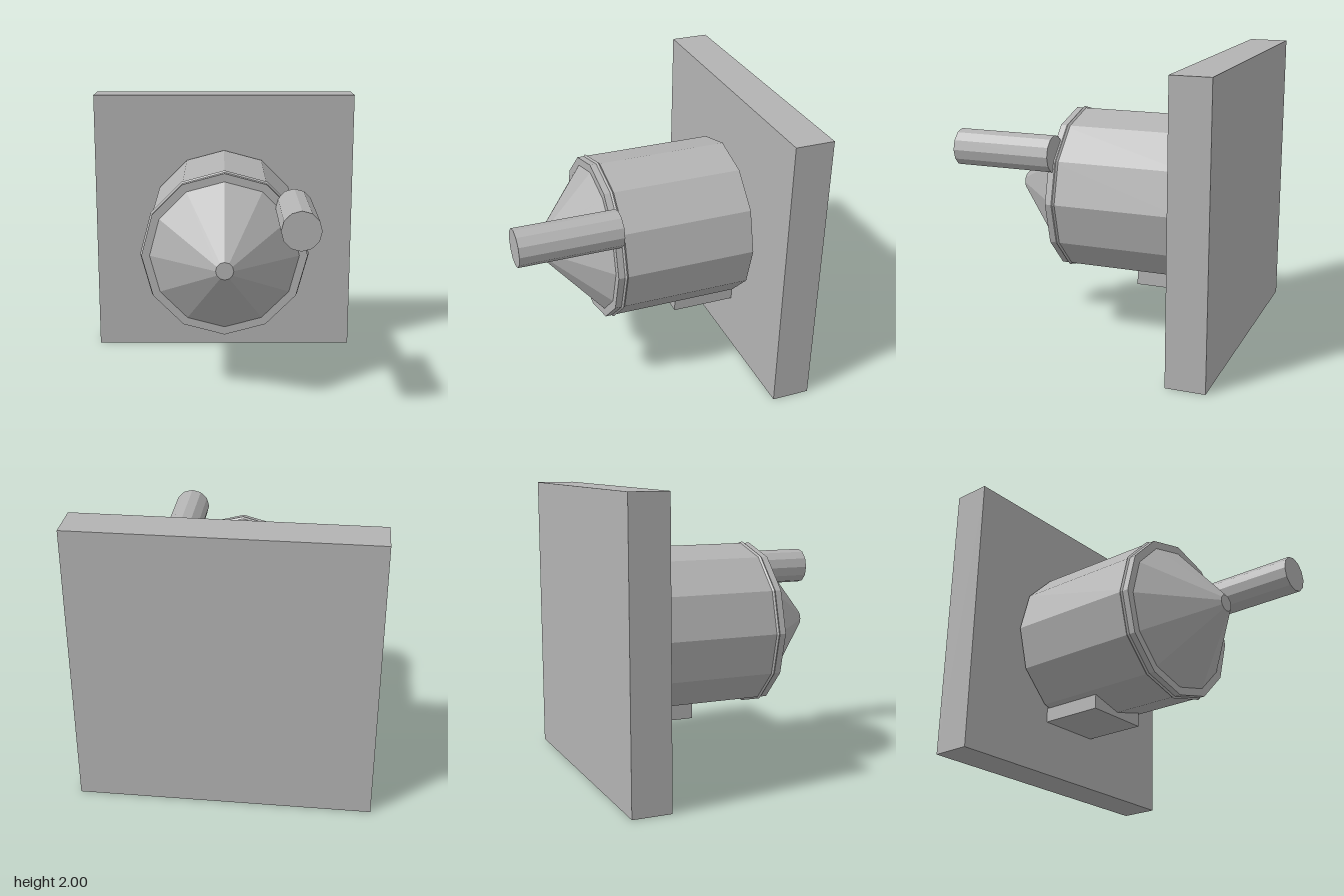
import * as THREE from 'three';

export function createModel() {
  const model = new THREE.Group();
  const grey = new THREE.MeshStandardMaterial({ color: 0xb3b3b3, flatShading: true });
  grey.name = 'plain grey';

  function add(name, geometry, x, y, z) {
    const mesh = new THREE.Mesh(geometry, grey);
    mesh.name = name;
    mesh.position.set(x, y, z);
    model.add(mesh);
  }

  // Twelve-sided drum lying along z, with a corner pointing straight up
  function drum(name, rFront, rBack, zBack, zFront, x, y) {
    const geometry = new THREE.CylinderGeometry(rFront, rBack, zFront - zBack, 12);
    geometry.rotateX(Math.PI / 2);
    add(name, geometry, x, y, (zBack + zFront) / 2);
  }

  // Wall plate and the bracket that carries the body
  add('wallPlate', new THREE.BoxGeometry(2, 2, 0.27), 0, 1, -0.845);
  add('bracket', new THREE.BoxGeometry(0.48, 0.105, 0.465), 0, 0.438, -0.4825);

  // Body with its thin sharp rim and truncated nose cone
  drum('body', 0.577, 0.577, -0.69, 0.305, 0, 1);
  add('rim', new THREE.TorusGeometry(0.577, 0.012, 4, 12), 0, 1, 0.248);
  drum('noseCone', 0.06, 0.52, 0.305, 0.705, 0, 1);

  // Handle standing out from the edge of the rim
  drum('handle', 0.13, 0.13, 0.27, 0.98, 0.48, 1.335);

  return model;
}
